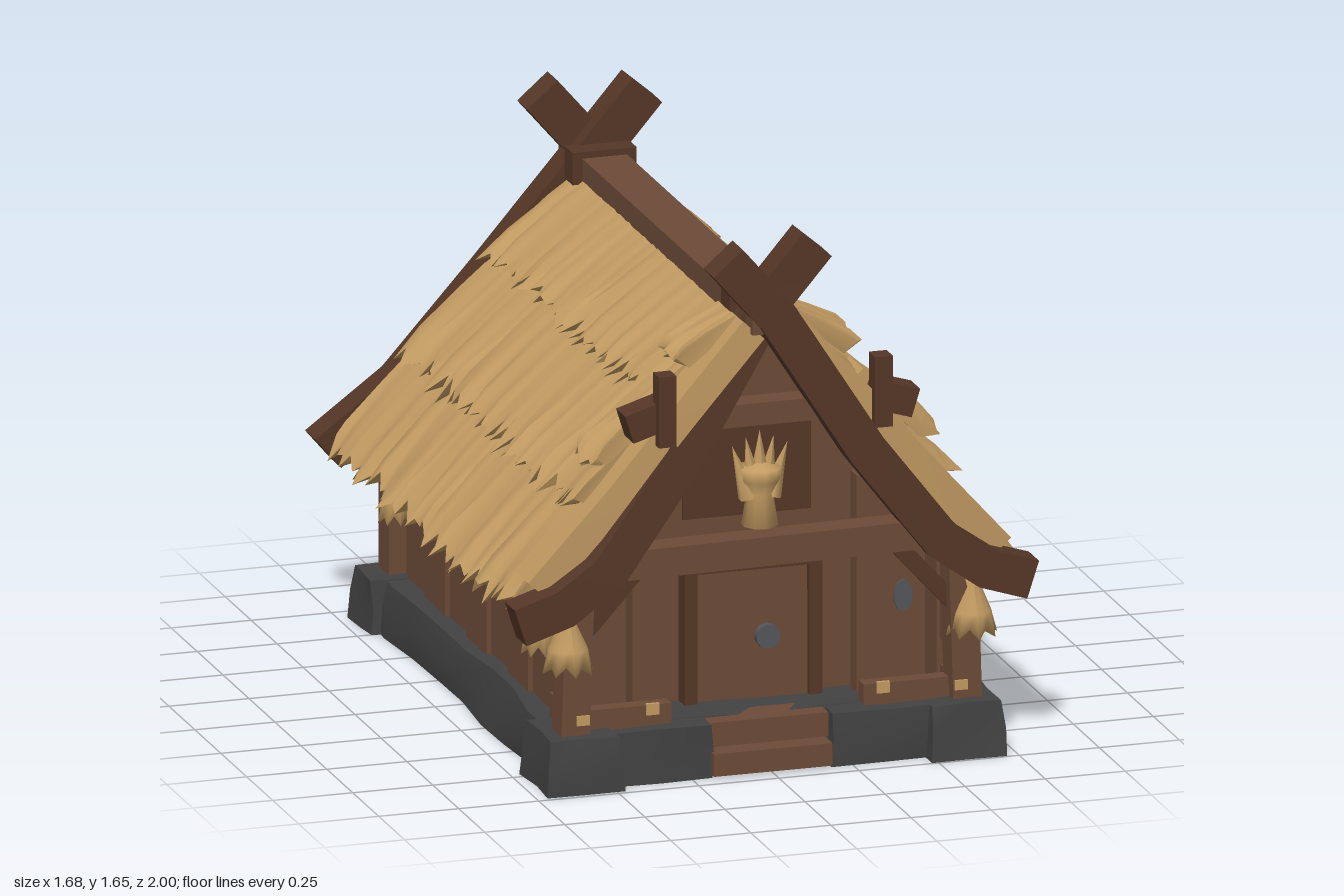
import * as THREE from 'three';
import { toCreasedNormals } from 'three/addons/utils/BufferGeometryUtils.js';

const mat = (name, color, side = THREE.FrontSide) => {
  const m = new THREE.MeshStandardMaterial({ color, side });
  m.name = name;
  return m;
};

export function createModel() {
  const group = new THREE.Group();
  const wood = mat('wood', 0x6c4a37);
  const darkWood = mat('dark wood', 0x553727);
  const stone = mat('stone', 0x424242);
  const straw = mat('thatch', 0xc29b62, THREE.DoubleSide);
  const iron = mat('iron', 0x55565a);

  let seed = 7;
  const rnd = () => ((seed = (seed * 16807) % 2147483647) / 2147483647);
  const jit = (a) => (rnd() - 0.5) * 2 * a;

  const add = (name, geo, material) => {
    const m = new THREE.Mesh(geo, material);
    m.name = name;
    group.add(m);
    return m;
  };

  // Box given by its min and max corners, optionally tilted about z
  const box = (name, material, [x0, x1], [y0, y1], [z0, z1], tilt = 0) => {
    const m = add(name, new THREE.BoxGeometry(x1 - x0, y1 - y0, z1 - z0), material);
    m.position.set((x0 + x1) / 2, (y0 + y1) / 2, (z0 + z1) / 2);
    m.rotation.z = tilt;
    return m;
  };

  // Rough block: subdivided, tapered box whose shared corners are nudged together
  const rock = (name, [x0, x1], [y0, y1], [z0, z1], nx, nz, amount = 0.014, taper = 0.97) => {
    const g = new THREE.BoxGeometry(x1 - x0, y1 - y0, z1 - z0, nx, 2, nz);
    const p = g.attributes.position, moved = {};
    for (let i = 0; i < p.count; i++) {
      const k = [p.getX(i), p.getY(i), p.getZ(i)].map((v) => v.toFixed(3)).join();
      moved[k] ??= [jit(amount), jit(amount * 0.5), jit(amount)];
      const [a, b, c] = moved[k];
      const top = p.getY(i) > 0.01 ? taper : 1;
      const low = p.getY(i) < -0.01;
      p.setXYZ(i, p.getX(i) * top + a, p.getY(i) + (low ? 0 : b), p.getZ(i) * top + c);
    }
    const m = add(name, toCreasedNormals(g, 0.5), stone);
    m.position.set((x0 + x1) / 2, (y0 + y1) / 2, (z0 + z1) / 2);
  };

  // Rectangular timber swept along points that mostly lie in the xy plane
  const timber = (name, material, pts, w, d) => {
    const pos = [], idx = [], n = pts.length;
    pts.forEach((p, i) => {
      const a = pts[Math.max(i - 1, 0)], b = pts[Math.min(i + 1, n - 1)];
      const l = Math.hypot(b[0] - a[0], b[1] - a[1]);
      const nx = -(b[1] - a[1]) / l * w / 2, ny = (b[0] - a[0]) / l * w / 2;
      [[1, 1], [1, -1], [-1, -1], [-1, 1]].forEach(([s, t]) =>
        pos.push(p[0] + nx * s, p[1] + ny * s, p[2] + t * d / 2));
    });
    for (let i = 0; i < n - 1; i++)
      for (let k = 0; k < 4; k++) {
        const a = i * 4 + k, b = i * 4 + (k + 1) % 4;
        idx.push(a, a + 4, b, b, a + 4, b + 4);
      }
    const e = (n - 1) * 4;
    idx.push(0, 1, 2, 0, 2, 3, e, e + 2, e + 1, e, e + 3, e + 2);
    const g = new THREE.BufferGeometry();
    g.setAttribute('position', new THREE.Float32BufferAttribute(pos, 3));
    g.setIndex(idx);
    add(name, toCreasedNormals(g, 0.6), material);
  };

  // Ragged straw layer between a top edge (tl, tr) and a bottom edge (bl, br)
  const thatch = (name, tl, tr, bl, br, thick = 0.038, cols = 60) => {
    const [TL, TR, BL, BR] = [tl, tr, bl, br].map((v) => new THREE.Vector3(...v));
    const out = BL.clone().sub(TL).cross(TR.clone().sub(TL)).normalize();
    const pos = [], idx = [], rows = 6;
    for (let c = 0; c <= cols; c++) {
      const t = THREE.MathUtils.clamp((c + (c % cols ? jit(0.35) : 0)) / cols, 0, 1);
      const a = TL.clone().lerp(TR, t), b = BL.clone().lerp(BR, t);
      const rag = (c % 2 ? 0.06 : -0.05) + jit(0.06), puff = jit(0.018);
      [[0, 0.3], [0.4, 0.7 + puff * 8], [0.8, 0.95 + puff * 20], [1 + rag, 0.8 + puff * 25],
        [0.93, -0.2], [0, -0.3]].forEach(([s, h]) => {
        const p = a.clone().lerp(b, s).addScaledVector(out, h * thick);
        pos.push(p.x, p.y, p.z);
      });
    }
    for (let c = 0; c < cols; c++)
      for (let r = 0; r < rows; r++) {
        const a = c * rows + r, b = c * rows + (r + 1) % rows;
        idx.push(a, b, a + rows, b, b + rows, a + rows);
      }
    const e = cols * rows;
    for (let r = 1; r < rows - 1; r++) idx.push(0, r + 1, r, e, e + r, e + r + 1);
    const g = new THREE.BufferGeometry();
    g.setAttribute('position', new THREE.Float32BufferAttribute(pos, 3));
    g.setIndex(idx);
    add(name, toCreasedNormals(g, 1.1), straw);
  };

  // Straw tassel with a tied neck and ragged hem
  const tassel = (x, y, z, h, r) => {
    const prof = [[0.01, h], [r * 0.45, h * 0.9], [r * 0.35, h * 0.72], [r * 0.75, h * 0.35], [r, 0], [0.01, h * 0.12]];
    const g = new THREE.LatheGeometry(prof.map((p) => new THREE.Vector2(...p)), 16);
    const p = g.attributes.position;
    for (let i = 4; i < p.count; i += 6) {
      const tooth = Math.floor(i / 6) % 2;
      p.setXYZ(i, p.getX(i) * (1 - 0.15 * tooth), 0.03 * tooth, p.getZ(i) * (1 - 0.15 * tooth));
    }
    g.computeVertexNormals();
    add('tassel', g, straw).position.set(x, y, z);
  };

  // Stone footing
  rock('footing', [-0.67, 0.67], [0, 0.165], [-0.92, 0.88], 6, 8);
  for (const s of [-1, 1]) {
    const span = (a, b) => (s > 0 ? [a, b] : [-b, -a]);
    rock('cornerStone', span(0.48, 0.715), [0, 0.17], [0.72, 0.99], 2, 2, 0.008, 0.88);
    rock('frontStone', span(0.19, 0.52), [0, 0.165], [0.8, 0.94], 2, 1, 0.008);
    rock('backCornerStone', span(0.53, 0.71), [0, 0.165], [-0.94, -0.74], 2, 2, 0.01, 0.92);
  }
  box('lowerStep', wood, [-0.19, 0.18], [0.01, 0.08], [0.8, 0.96]);
  box('upperStep', wood, [-0.19, 0.18], [0.09, 0.165], [0.8, 0.92]);

  // House body with gable, and the lower back wall
  const gable = new THREE.Shape([[-0.59, 0.16], [0.59, 0.16], [0.59, 0.68], [0, 1.35], [-0.59, 0.68]]
    .map((p) => new THREE.Vector2(...p)));
  const body = add('houseBody', new THREE.ExtrudeGeometry(gable, { depth: 1.43, bevelEnabled: false }), wood);
  body.position.z = -0.75;
  box('backWall', wood, [-0.58, 0.58], [0.16, 0.68], [-0.87, -0.7]);
  box('gablePanel', darkWood, [-0.2, 0.2], [0.73, 1.07], [0.68, 0.69]);

  // Door
  box('door', wood, [-0.165, 0.18], [0.165, 0.57], [0.68, 0.72], 0.01);
  box('doorLintel', darkWood, [-0.2, 0.2], [0.575, 0.64], [0.68, 0.75]);
  for (const x of [-0.19, 0.2]) box('doorJamb', darkWood, [x - 0.02, x + 0.02], [0.165, 0.6], [0.68, 0.74]);
  const knob = add('doorKnob', new THREE.CylinderGeometry(0.038, 0.038, 0.03, 10), iron);
  knob.rotation.x = Math.PI / 2;
  knob.position.set(0.05, 0.36, 0.73);

  // Front beams
  box('tieBeam', wood, [-0.5, 0.5], [0.64, 0.73], [0.84, 0.93], 0.012);
  box('collarBeam', wood, [-0.22, 0.22], [1.07, 1.14], [0.82, 0.9]);

  // Straw sheaf in the gable: bound stem with fanned ears
  const stem = [[0, 0], [0.055, 0], [0.04, 0.1], [0.06, 0.14], [0.065, 0.18], [0, 0.2]];
  add('sheafStem', new THREE.LatheGeometry(stem.map((p) => new THREE.Vector2(...p)), 10), straw)
    .position.set(-0.015, 0.75, 0.86);
  for (let i = -2; i <= 2; i++) {
    const ear = add('sheafEar', new THREE.ConeGeometry(0.034, 0.17, 6), straw);
    ear.position.set(-0.015 + i * 0.03, 0.96 - Math.abs(i) * 0.02, 0.86);
    ear.rotation.z = -i * 0.16;
  }

  for (const s of [-1, 1]) {
    const span = (a, b) => (s > 0 ? [a, b] : [-b, -a]);
    const pt = (x, y, z) => [s * x, y, z];
    // Strip running from near to far, ordered so its face points outward
    const slope = (name, [x0, y0], [x1, y1], zf, zb, thick, cols) => {
      const [l, r] = s > 0 ? [zf, zb] : [zb, zf];
      thatch(name, pt(x0, y0, l), pt(x0, y0, r), pt(x1, y1, l), pt(x1, y1, r), thick, cols);
    };

    // Posts, rails, side walls and braces
    box('porchPost', wood, span(0.56, 0.65), [0.16, 0.62], [0.84, 0.93], s * 0.03);
    box('innerPost', wood, span(0.32, 0.38), [0.16, 0.84], [0.7, 0.76]);
    box('porchRail', wood, span(0.3, 0.6), [0.16, 0.23], [0.84, 0.89]);
    box('porchSide', wood, span(0.56, 0.605), [0.16, 0.66], [0.66, 0.79]);
    box('sideRail', wood, span(0.57, 0.62), [0.16, 0.24], [0.7, 0.88]);
    box('sideUpperRail', wood, span(0.57, 0.62), [0.32, 0.64], [0.7, 0.88]);
    box('backPost', wood, span(0.54, 0.635), [0.16, 0.68], [-0.9, -0.8]);
    for (const z of [-0.45, -0.05, 0.35])
      box('wallPlank', wood, span(0.58, 0.605), [0.16, 0.64], [z - 0.1, z + 0.1]);
    timber('brace', darkWood, [pt(0.4, 0.66, 0.87), pt(0.58, 0.46, 0.87)], 0.05, 0.05);
    const pane = add('window', new THREE.CylinderGeometry(0.05, 0.05, 0.008, 10), iron);
    pane.rotation.x = Math.PI / 2;
    pane.scale.x = 0.6;
    pane.position.set(s * 0.49, 0.43, 0.684);
    box('peg', straw, span(0.34, 0.38), [0.2, 0.235], [0.885, 0.897]);
    box('postPeg', straw, span(0.57, 0.61), [0.2, 0.23], [0.925, 0.937]);

    // Crossed rafters, front and back
    const front = s > 0 ? 0.94 : 0.84, back = s > 0 ? -0.85 : -0.8;
    timber('frontRafter', darkWood, [pt(-0.155, 1.61, front), pt(0, 1.43, front), pt(0.28, 0.99, (front + 0.94) / 2),
      pt(0.52, 0.68, 0.93), pt(0.66, 0.58, 0.93), pt(0.8, 0.535, 0.93)], 0.12, 0.1);
    timber('backRafter', darkWood, [pt(-0.155, 1.61, back), pt(0, 1.43, back), pt(0.3, 1.05, -0.85),
      pt(0.57, 0.73, -0.88), pt(0.8, 0.535, -0.925)], 0.125, 0.1);
    // Straw verge lying along the front rafter
    timber('verge', straw, [pt(0.06, 1.38, 0.88), pt(0.27, 1.14, 0.88), pt(0.47, 0.9, 0.87), pt(0.72, 0.62, 0.85)], 0.09, 0.12);

    // Roof layers
    slope('roofThatch', [0.01, 1.4], [0.32, 1.135], 0.82, -0.77);
    slope('roofThatch', [0.26, 1.155], [0.575, 0.84], 0.85, -0.8);
    slope('roofThatch', [0.51, 0.87], [0.775, 0.545], 0.87, -0.84);
    // Extra straw tufts near the front edge
    slope('strawTuft', [0.09, 1.4], [0.26, 1.26], 0.88, 0.72, 0.05, 10);
    slope('strawTuft', [0.3, 1.19], [0.51, 0.96], 0.85, 0.69, 0.05, 10);

    // Roof pegs
    box('roofPeg', darkWood, span(0.31, 0.365), [1.05, 1.27], [0.91, 0.97]);
    box('roofPegBoard', darkWood, span(0.32, 0.45), [1.08, 1.17], [0.85, 0.94], s * -0.3);

    // Hanging tassels
    for (const [x, z, r] of [[0.63, 0.91, 0.08], [0.65, 0.7, 0.06], [0.65, -0.69, 0.055]])
      tassel(s * x, 0.365, z, 0.21, r);
  }

  // Straw skirt on the back gable
  for (const [w0, y0, z0, w1, y1, z1] of [
    [0.04, 1.36, -0.77, 0.29, 1.05, -0.88], [0.25, 1.08, -0.85, 0.45, 0.83, -0.93], [0.42, 0.86, -0.89, 0.58, 0.62, -0.95]])
    thatch('backThatch', [w0, y0, z0], [-w0, y0, z0], [w1, y1, z1], [-w1, y1, z1], 0.045, 30);

  // Ridge beam and its lashing blocks
  box('ridgeBeam', wood, [-0.07, 0.07], [1.37, 1.44], [-0.91, 0.96]);
  for (const z of [0.79, -0.72]) box('ridgeBlock', darkWood, [-0.1, 0.1], [1.36, 1.46], [z - 0.04, z + 0.04]);

  return group;
}
